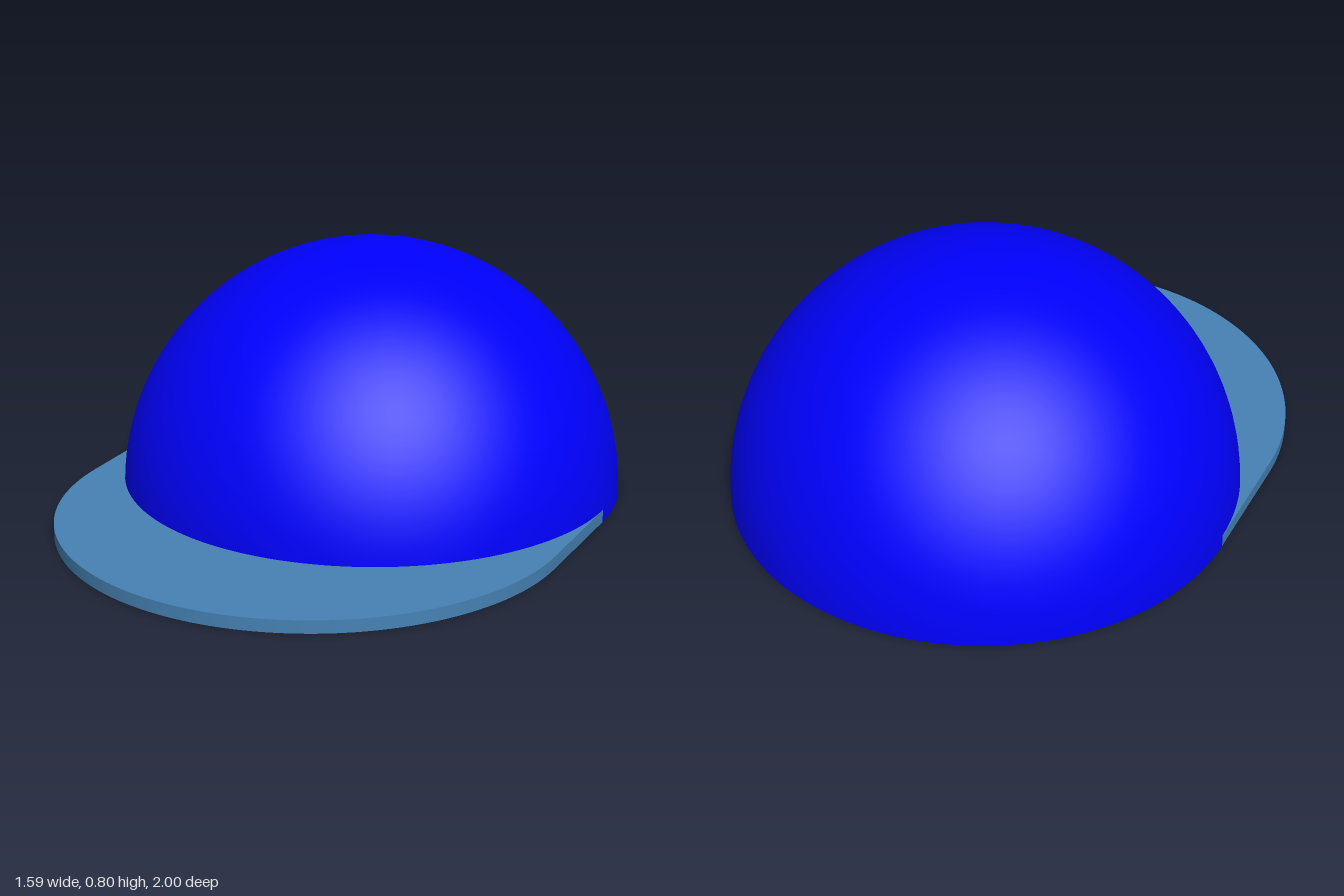
import * as THREE from 'three';
import { mergeGeometries, toCreasedNormals } from 'three/addons/utils/BufferGeometryUtils.js';

const R = 0.797;      // outer dome radius
const WALL = 0.04;    // dome wall and brim thickness
const OFFSET = 0.203; // dome sits this far back, brim arc this far forward
const SEGMENTS = 96;

// Quarter-circle profile from the rim up to the apex
function quarter(radius, steps = 32) {
  return Array.from({ length: steps + 1 }, (_, i) => {
    const a = (i / steps) * Math.PI / 2;
    return new THREE.Vector2(i === steps ? 0 : radius * Math.cos(a), radius * Math.sin(a));
  });
}

// Hollow dome: outer skin, inner skin and flat rim
function domeGeometry() {
  const inner = R - WALL;
  const profiles = [
    quarter(R),
    quarter(inner).reverse(),
    [new THREE.Vector2(inner, 0), new THREE.Vector2(R, 0)],
  ];
  return mergeGeometries(profiles.map((p) => new THREE.LatheGeometry(p, SEGMENTS)));
}

// Flat brim: straight sides, round front, cut out around the dome
function brimGeometry() {
  const cut = R - 0.001;
  const shape = new THREE.Shape();
  shape.moveTo(R, -OFFSET);
  shape.lineTo(R, OFFSET);
  shape.absarc(0, OFFSET, R, 0, Math.PI, false);
  shape.lineTo(-R, -OFFSET);
  shape.absarc(0, -OFFSET, cut, Math.PI, 0, true);
  const geometry = new THREE.ExtrudeGeometry(shape, {
    depth: WALL, bevelEnabled: false, curveSegments: SEGMENTS / 2,
  });
  geometry.rotateX(Math.PI / 2).translate(0, WALL, 0);
  return toCreasedNormals(geometry, Math.PI / 6);
}

export function createModel() {
  const cap = new THREE.Group();
  cap.name = 'cap';

  const dome = new THREE.Mesh(domeGeometry(), new THREE.MeshStandardMaterial({ color: 0x0000ff }));
  dome.name = 'dome';
  dome.position.z = -OFFSET;

  const brim = new THREE.Mesh(brimGeometry(), new THREE.MeshStandardMaterial({ color: 0x4682b4 }));
  brim.name = 'brim';

  cap.add(dome, brim);
  return cap;
}
